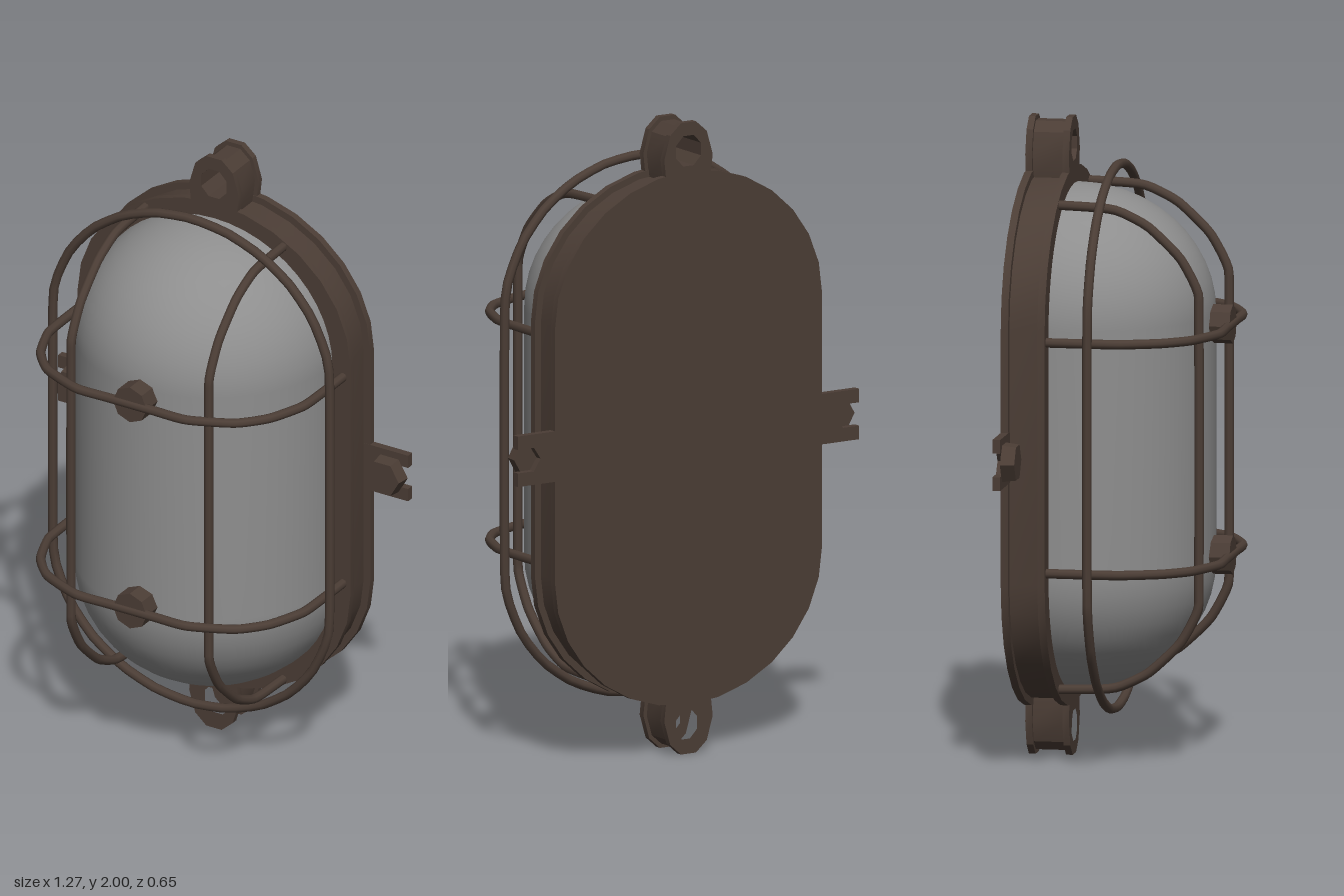
import * as THREE from 'three';
import { toCreasedNormals } from 'three/addons/utils/BufferGeometryUtils.js';

export function createModel() {
  const group = new THREE.Group();
  const iron = new THREE.MeshStandardMaterial({ color: 0x4b3d35 });
  iron.name = 'brown iron';
  const glass = new THREE.MeshStandardMaterial({ color: 0x8e8e8e });
  glass.name = 'grey glass';

  const add = (name, geometry, material = iron) => {
    const mesh = new THREE.Mesh(geometry, material);
    mesh.name = name;
    group.add(mesh);
    return mesh;
  };

  // Flat shape in the xy plane, filling z0 to z1
  const slab = (shape, z0, z1) => {
    const g = new THREE.ExtrudeGeometry(shape, { depth: z1 - z0, bevelEnabled: false, curveSegments: 7 });
    g.translate(0, 0, z0);
    return toCreasedNormals(g, Math.PI / 7);
  };

  // Long outline with rounded ends
  const oval = (w, h) => {
    const s = new THREE.Shape();
    s.absellipse(0, 1.4, w, h, 0, Math.PI, false);
    s.absellipse(0, 0.6, w, h, Math.PI, Math.PI * 2, false);
    s.closePath();
    return s;
  };

  // Bent wire through points
  const wire = (points, closed = false) => {
    const curve = new THREE.CatmullRomCurve3(points.map(p => new THREE.Vector3(...p)), closed, 'catmullrom', 0.3);
    return new THREE.TubeGeometry(curve, 90, 0.015, 8, closed);
  };

  // Housing: back plate, body and front flange
  add('backPlate', slab(oval(0.497, 0.445), -0.328, -0.305));
  add('housingBody', slab(oval(0.473, 0.422), -0.305, -0.213));
  add('frontFlange', slab(oval(0.495, 0.443), -0.213, -0.19));

  // Glass dome: half of a long capsule
  const profile = [];
  for (const side of [-1, 1]) {
    for (let i = 0; i <= 12; i++) {
      const a = (side < 0 ? 12 - i : i) / 12 * Math.PI / 2;
      profile.push(new THREE.Vector2(Math.max(0, 0.43 * Math.cos(a)), 1 + side * (0.39 + 0.4 * Math.sin(a))));
    }
  }
  const dome = new THREE.LatheGeometry(profile, 28, -Math.PI / 2, Math.PI);
  dome.scale(1, 1, 0.44 / 0.43);
  dome.translate(0, 0, -0.19);
  add('glassDome', dome, glass);

  // Eyelets at top and bottom, each two plates around a narrower spool
  const eyelet = (k, sign) => {
    const half = [[0.08, 0.8], [0.09, 0.89], [0.068, 0.965], [0.028, 1]];
    const left = half.map(([x, y]) => [-x, y]).reverse();
    const s = new THREE.Shape([...half, ...left].map(([x, y]) =>
      new THREE.Vector2(x * k, 1 + sign * (0.9 + (y - 0.9) * k))));
    const hole = new THREE.Path();
    hole.setFromPoints(Array.from({ length: 8 }, (_, i) => {
      const a = (i + 0.5) * Math.PI / 4;
      return new THREE.Vector2(0.05 * Math.cos(a), 1 + sign * (0.91 + 0.052 * Math.sin(a)));
    }));
    s.holes.push(hole);
    return s;
  };
  for (const [sign, place] of [[1, 'top'], [-1, 'bottom']]) {
    add(place + 'EyeletBack', slab(eyelet(1, sign), -0.328, -0.307));
    add(place + 'EyeletSpool', slab(eyelet(0.86, sign), -0.307, -0.211));
    add(place + 'EyeletFront', slab(eyelet(1, sign), -0.211, -0.19));
  }

  // Forked side brackets with hexagonal bolts
  for (const [sign, place] of [[1, 'left'], [-1, 'right']]) {
    const fork = [[0.47, -0.08], [0.635, -0.08], [0.635, -0.037], [0.575, -0.037], [0.55, 0],
      [0.575, 0.037], [0.635, 0.037], [0.635, 0.08], [0.47, 0.08]];
    add(place + 'Bracket', slab(new THREE.Shape(fork.map(([x, y]) => new THREE.Vector2(sign * x, 1 + y))), -0.328, -0.304));
    const bolt = new THREE.CylinderGeometry(0.06, 0.066, 0.044, 6).toNonIndexed();
    bolt.rotateY(Math.PI / 6);
    bolt.rotateX(Math.PI / 2);
    bolt.computeVertexNormals();
    add(place + 'Bolt', bolt).position.set(sign * 0.567, 1, -0.283);
  }

  // Cage ring around the dome
  const ring = [];
  for (const end of [1, -1]) {
    for (let i = 0; i <= 12; i++) {
      const a = i / 12 * Math.PI;
      ring.push([end * 0.502 * Math.cos(a), 1 + end * (0.4 + 0.45 * Math.sin(a)), -0.055]);
    }
  }
  add('cageRing', wire(ring, true));

  // Upright cage wires: half path mirrored in y
  const upright = [[0.76, -0.2], [0.755, -0.06], [0.745, 0], [0.7, 0.09], [0.605, 0.19], [0.5, 0.246], [0.4, 0.25]];
  for (const x of [-0.25, 0.25]) {
    const upper = upright.map(([y, z]) => [x, 1 + y, z]);
    const lower = upright.map(([y, z]) => [x, 1 - y, z]).reverse();
    add(x > 0 ? 'leftUprightWire' : 'rightUprightWire', wire([...upper, ...lower]));
  }

  // Cross wires and the bosses holding them off the dome
  const cross = [[0.467, -0.2], [0.467, -0.06], [0.462, 0.04], [0.415, 0.16], [0.34, 0.243], [0.2, 0.303], [0.08, 0.304]];
  for (const [y, place] of [[1.362, 'upper'], [0.638, 'lower']]) {
    const right = cross.map(([x, z]) => [-x, y, z]);
    const left = cross.map(([x, z]) => [x, y, z]).reverse();
    add(place + 'CrossWire', wire([...right, ...left]));
    const boss = new THREE.CylinderGeometry(0.061, 0.061, 0.09, 8).toNonIndexed();
    boss.rotateX(Math.PI / 2);
    boss.computeVertexNormals();
    add(place + 'Boss', boss).position.set(0, y, 0.265);
  }
  return group;
}
